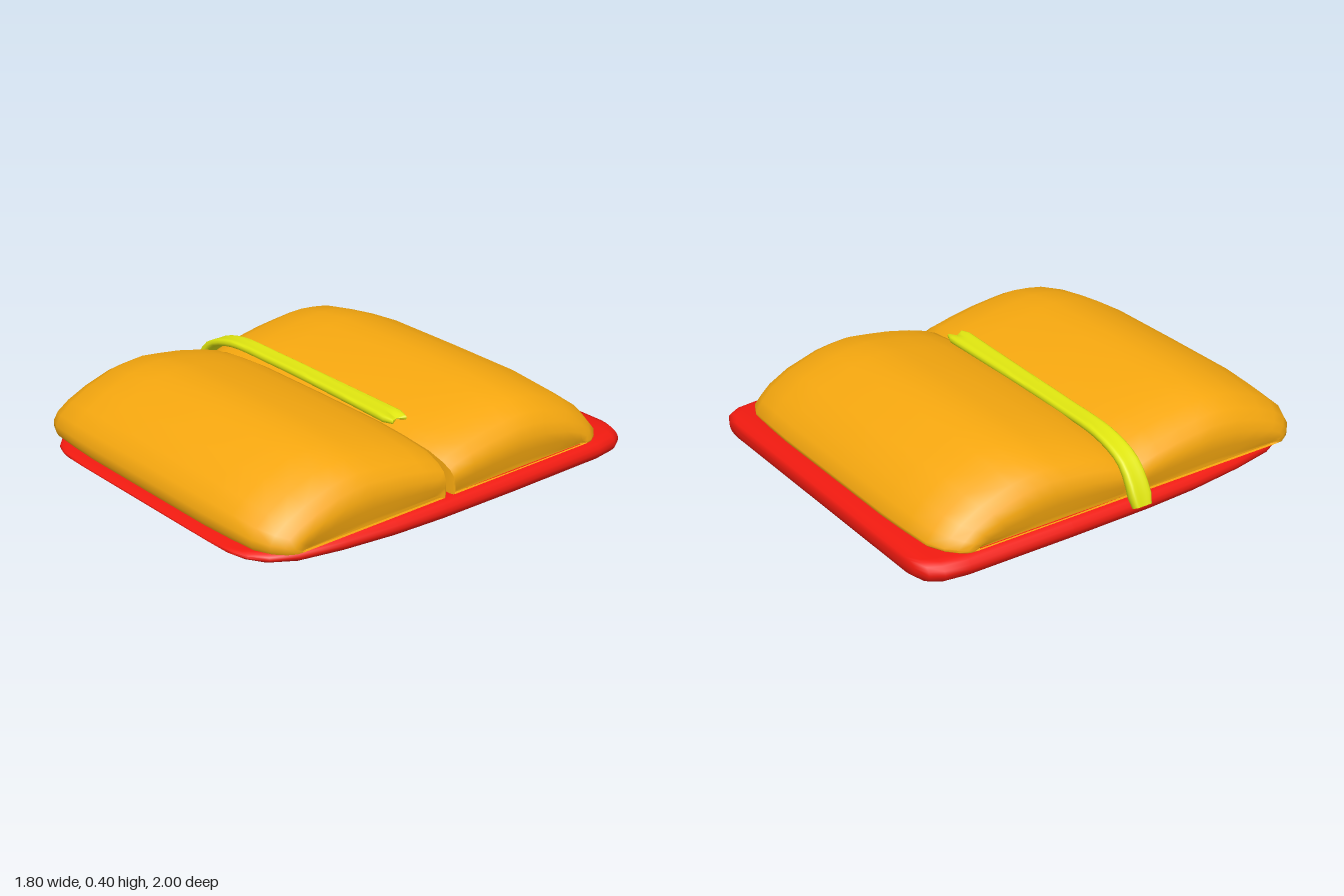
import * as THREE from 'three';
import { toCreasedNormals } from 'three/addons/utils/BufferGeometryUtils.js';

// Skin a list of equal-length closed loops and cap both ends; faces are turned outward.
function loft(loops, crease) {
  const n = loops[0].length;
  const points = loops.flat();
  const index = [];
  for (let i = 0; i < loops.length - 1; i++) {
    for (let j = 0; j < n; j++) {
      const a = i * n + j, b = i * n + (j + 1) % n;
      index.push(a, b, b + n, a, b + n, a + n);
    }
  }
  for (const end of [0, loops.length - 1]) {
    const centre = new THREE.Vector3();
    loops[end].forEach((p) => centre.addScaledVector(p, 1 / n));
    const c = points.push(centre) - 1;
    for (let j = 0; j < n; j++) {
      const a = end * n + j, b = end * n + (j + 1) % n;
      if (end === 0) index.push(c, b, a); else index.push(c, a, b);
    }
  }
  // signed volume tells which way the skin is wound
  let volume = 0;
  const cross = new THREE.Vector3();
  for (let i = 0; i < index.length; i += 3) {
    volume += points[index[i]].dot(cross.crossVectors(points[index[i + 1]], points[index[i + 2]]));
  }
  if (volume < 0) index.reverse();
  const g = new THREE.BufferGeometry().setFromPoints(points);
  g.setIndex(index);
  return toCreasedNormals(g, crease);
}

function part(name, geometry, color) {
  const mesh = new THREE.Mesh(geometry, new THREE.MeshStandardMaterial({ color }));
  mesh.name = name;
  return mesh;
}

const CX = 0.036; // middle of the book across x

// Cover: rounded slab lofted from back to front, thinning toward the front edge
function coverGeometry() {
  // z, half width, bottom, top
  const stations = [
    [-1, 0.68, 0.035, 0.07], [-0.993, 0.76, 0.018, 0.086], [-0.965, 0.82, 0.006, 0.094],
    [-0.91, 0.852, 0.001, 0.097], [-0.8, 0.867, 0, 0.097], [-0.3, 0.869, 0, 0.097],
    [0.1, 0.867, 0.003, 0.096], [0.35, 0.855, 0.006, 0.093], [0.6, 0.828, 0.012, 0.089],
    [0.8, 0.79, 0.018, 0.084], [0.91, 0.735, 0.027, 0.076], [0.965, 0.67, 0.037, 0.068],
    [0.99, 0.6, 0.045, 0.062], [1, 0.49, 0.052, 0.057],
  ];
  const loops = stations.map(([z, w, y0, y1]) => {
    const loop = [], mid = (y0 + y1) / 2, h = (y1 - y0) / 2;
    for (const side of [1, -1]) {
      for (let k = 0; k <= 8; k++) {
        const t = -Math.PI / 2 + (k / 8) * Math.PI;
        const x = w - 0.07 + 0.07 * Math.cos(t);
        loop.push(new THREE.Vector3(CX + side * x, mid + side * h * Math.sin(t), z));
      }
    }
    return loop;
  });
  return loft(loops, 1.1);
}

// Page block: domed profile in z/y lofted along x, shrinking toward both ends
function pagesGeometry(profile, inner, outer) {
  const base = 0.094, peak = 0.395;
  // distance from middle, top height, inset of outer edge, inset of inner edge
  const half = [
    [0.39, 0.392, 0, 0], [0.55, 0.375, 0.008, 0], [0.69, 0.35, 0.02, 0.002],
    [0.765, 0.31, 0.055, 0.008], [0.806, 0.272, 0.095, 0.014], [0.826, 0.225, 0.13, 0.02],
    [0.829, 0.17, 0.16, 0.028], [0.815, 0.115, 0.19, 0.04],
  ];
  const stations = [
    ...half.map(([u, ...r]) => [-u, ...r]).reverse(), [0, peak, 0, 0], ...half,
  ];
  const dir = Math.sign(outer - inner), depth = Math.abs(outer - inner);
  const loops = stations.map(([u, top, insetOut, insetIn]) => profile.map(([z, y]) => {
    const t = Math.abs(z - inner) / depth;
    const zz = inner + dir * (insetIn + t * (depth - insetIn - insetOut));
    const yy = base + (y - base) * (top - base) / (peak - base);
    return new THREE.Vector3(CX + u, yy, zz);
  }));
  return loft(loops, 0.8);
}

// Ribbon: two-lobed strip along the fold, drooping over one end, notched at the other
function ribbonGeometry() {
  const path = new THREE.CatmullRomCurve3([
    [0.54, 0.318, 0.038], [0.2, 0.318, 0.03], [-0.3, 0.316, 0.02], [-0.62, 0.303, 0.015],
    [-0.77, 0.25, 0.013], [-0.83, 0.175, 0.013], [-0.873, 0.085, 0.013],
  ].map((p) => new THREE.Vector3(...p)));
  const count = 32, sides = 20, loops = [];
  for (let i = 0; i <= count; i++) {
    const t = i / count;
    const p = path.getPointAt(t), d = path.getTangentAt(t);
    const normal = new THREE.Vector3(d.y, -d.x, 0).normalize();
    const tip = i === 0 ? 0.7 : i === count ? 0.8 : 1;
    const width = (0.055 - 0.012 * Math.sin(t * Math.PI * 0.9)) * tip;
    const thick = (0.021 + 0.015 * Math.max(0, (t - 0.85) / 0.15)) * tip;
    const notch = 0.06 * Math.max(0, 1 - t / 0.12);
    const loop = [];
    for (let j = 0; j < sides; j++) {
      const a = (j / sides) * Math.PI * 2, c = Math.cos(a);
      const lobe = Math.sign(Math.sin(a)) * Math.pow(Math.abs(Math.sin(a)), 0.6);
      const v = p.clone().addScaledVector(normal, lobe * thick * (0.7 + 0.5 * c * c));
      v.z += c * width;
      v.x -= notch * (1 - Math.abs(c));
      loop.push(v);
    }
    loops.push(loop);
  }
  return loft(loops, 1.1);
}

export function createModel() {
  const group = new THREE.Group();
  group.name = 'openBook';
  group.add(part('cover', coverGeometry(), 0xf01a10));

  const frontProfile = [
    [0.05, 0.094], [0.05, 0.2], [0.052, 0.275], [0.09, 0.3], [0.18, 0.331], [0.31, 0.365],
    [0.42, 0.383], [0.51, 0.395], [0.59, 0.386], [0.67, 0.37], [0.8, 0.315], [0.9, 0.255],
    [0.96, 0.2], [0.985, 0.15], [0.985, 0.115], [0.975, 0.094],
  ];
  const backProfile = [
    [0.048, 0.094], [0.048, 0.2], [0.046, 0.275], [0.01, 0.3], [-0.09, 0.335], [-0.21, 0.365],
    [-0.32, 0.383], [-0.41, 0.395], [-0.49, 0.386], [-0.57, 0.37], [-0.73, 0.302],
    [-0.83, 0.23], [-0.88, 0.17], [-0.915, 0.12], [-0.915, 0.105], [-0.905, 0.094],
  ];
  group.add(part('frontPages', pagesGeometry(frontProfile, 0.05, 0.985), 0xf5a70f));
  group.add(part('backPages', pagesGeometry(backProfile, 0.048, -0.92), 0xf5a70f));
  group.add(part('ribbonBookmark', ribbonGeometry(), 0xe0e610));
  return group;
}
